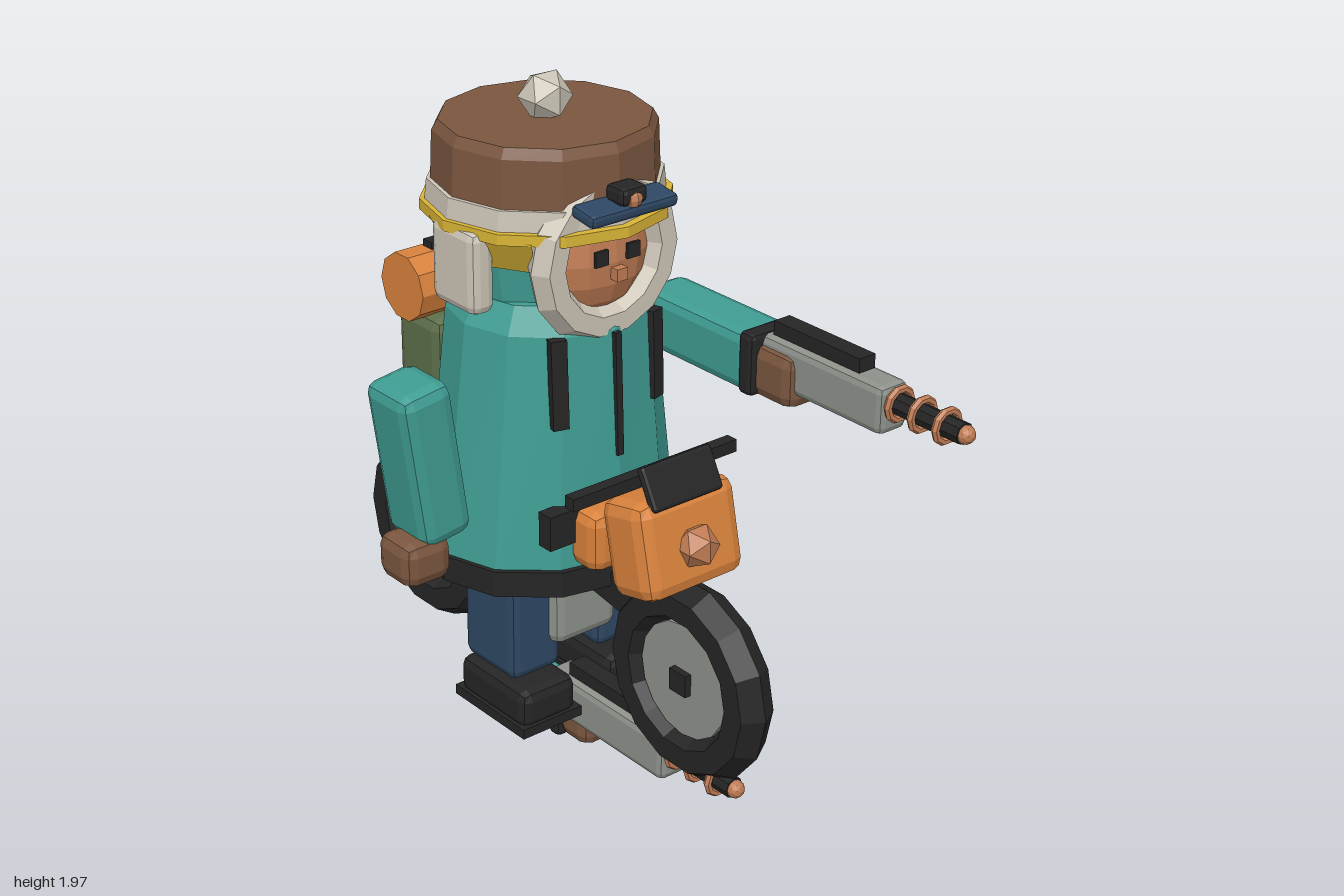
import * as THREE from 'three';
import { RoundedBoxGeometry } from 'three/addons/geometries/RoundedBoxGeometry.js';

const mat = (name, color) => new THREE.MeshStandardMaterial({ name, color, flatShading: true });
const teal = mat('teal', 0x3f9c92), black = mat('black', 0x252525), brown = mat('brown', 0x7a563f);
const orange = mat('orange', 0xd9823c), cream = mat('cream', 0xcbc4b6), yellow = mat('yellow', 0xd8b436);
const navy = mat('navy', 0x2e4763), skin = mat('skin', 0xc07c54), grey = mat('grey', 0x8d918a);
const green = mat('green', 0x5c6e4a);
yellow.side = THREE.DoubleSide;

export function createModel() {
  const root = new THREE.Group();
  root.name = 'parkaRider';
  root.position.x = 0.026;

  const add = (parent, name, geo, material, x, y, z, rx = 0, ry = 0, rz = 0) => {
    const m = new THREE.Mesh(geo, material);
    m.name = name;
    m.position.set(x, y, z);
    m.rotation.set(rx, ry, rz);
    parent.add(m);
    return m;
  };
  const group = (name) => {
    const g = new THREE.Group();
    g.name = name;
    root.add(g);
    return g;
  };
  const box = (w, h, d) => new THREE.BoxGeometry(w, h, d);
  const soft = (w, h, d, r = 0.025) => new RoundedBoxGeometry(w, h, d, 1, r);
  const cyl = (r0, r1, h, n) => new THREE.CylinderGeometry(r0, r1, h, n);

  // Stack of oval rings, listed top to bottom as [y, rx, rz]
  const rings = (list, sides = 12) => {
    const n = list.length - 1;
    const geo = new THREE.CylinderGeometry(1, 1, 1, sides, n);
    const p = geo.attributes.position;
    for (let i = 0; i < p.count; i++) {
      const [y, rx, rz] = list[Math.round((0.5 - p.getY(i)) * n)];
      p.setXYZ(i, p.getX(i) * rx, y, p.getZ(i) * rz);
    }
    return geo;
  };

  // Coat
  const coat = group('coat');
  add(coat, 'coatBody', rings([[1.43, 0.24, 0.23], [1.36, 0.285, 0.275], [0.69, 0.365, 0.312]]), teal, 0, 0, -0.165);
  add(coat, 'coatHem', rings([[0.705, 0.375, 0.322], [0.63, 0.375, 0.322]]), black, 0, 0, -0.16);
  for (const s of [-1, 1]) add(coat, 'coatStrap', box(0.045, 0.25, 0.03), black, s * 0.163, 1.237, 0.075, -0.04, s * 0.3);
  add(coat, 'zipper', box(0.02, 0.35, 0.02), black, 0, 1.18, 0.12, -0.04);
  add(coat, 'beltPouchBack', box(0.47, 0.1, 0.05), black, 0, 0.84, 0.105);
  add(coat, 'beltPouch', soft(0.3, 0.175, 0.12, 0.035), orange, 0, 0.803, 0.15);

  // Head, hood and face
  const head = group('head');
  add(head, 'hood', rings([[1.64, 0.27, 0.23], [1.56, 0.275, 0.235], [1.38, 0.24, 0.22]]), teal, 0, 0, -0.2);
  add(head, 'furRing', new THREE.TorusGeometry(0.187, 0.052, 6, 14), cream, 0, 1.557, 0.06);
  add(head, 'face', new THREE.SphereGeometry(0.165, 12, 8), skin, 0, 1.55, 0.02).scale.z = 0.58;
  for (const s of [-1, 1]) {
    add(head, 'eye', box(0.042, 0.042, 0.009), black, s * 0.053, 1.572, 0.115);
    add(head, 'earFlap', soft(0.075, 0.23, 0.185), cream, s * 0.295, 1.535, -0.152);
  }
  add(head, 'nose', box(0.034, 0.034, 0.035), skin, 0, 1.522, 0.12);

  // Hat with goggles
  const hat = group('hat');
  add(hat, 'yellowBrim', rings([[1.66, 0.338, 0.335], [1.63, 0.338, 0.335]]), yellow, 0, 0, -0.175);
  const back = new THREE.CylinderGeometry(0.33, 0.275, 0.1, 9, 1, true, Math.PI * 0.25, Math.PI * 1.5);
  add(hat, 'yellowLining', back, yellow, 0, 1.588, -0.175);
  add(hat, 'hatBand', rings([[1.715, 0.318, 0.31], [1.655, 0.325, 0.315]]), cream, 0, 0, -0.178);
  add(hat, 'hatCrown', rings([[1.873, 0.283, 0.283], [1.845, 0.3, 0.297], [1.71, 0.306, 0.303]]), brown, 0, 0, -0.178);
  add(hat, 'pompom', new THREE.IcosahedronGeometry(0.073), cream, 0, 1.92, -0.18);
  add(hat, 'goggles', soft(0.285, 0.036, 0.09, 0.012), navy, 0, 1.714, 0.145, 0.15);
  add(hat, 'goggleMount', soft(0.085, 0.05, 0.075, 0.015), black, 0, 1.75, 0.15);
  add(hat, 'goggleStud', new THREE.SphereGeometry(0.028, 8, 6), skin, 0, 1.74, 0.17);

  // Relaxed arm on the right
  const rightArm = group('rightArm');
  add(rightArm, 'rightSleeve', soft(0.16, 0.46, 0.19, 0.035), teal, -0.446, 1.026, -0.16, 0, 0, 0.14);
  add(rightArm, 'rightGlove', soft(0.15, 0.13, 0.15, 0.035), brown, -0.483, 0.755, -0.14);

  // Blaster, with its tip at the given point
  const blaster = (parent, x, y, zTip) => {
    const g = new THREE.Group();
    g.name = 'blaster';
    g.position.set(x, y, zTip);
    parent.add(g);
    add(g, 'blasterBody', soft(0.1, 0.135, 0.5, 0.02), grey, 0, -0.02, -0.52);
    add(g, 'blasterRail', box(0.056, 0.04, 0.32), black, 0, 0.07, -0.535);
    add(g, 'barrel', cyl(0.03, 0.03, 0.26, 8), black, 0, 0, -0.16, Math.PI / 2);
    for (const z of [-0.09, -0.175, -0.255]) {
      add(g, 'barrelRing', new THREE.TorusGeometry(0.042, 0.011, 6, 10), skin, 0, 0, z);
    }
    add(g, 'barrelTip', new THREE.IcosahedronGeometry(0.026, 1), skin, 0, 0, -0.026);
  };

  // Raised arm on the left
  const leftArm = group('leftArm');
  add(leftArm, 'leftSleeve', soft(0.165, 0.17, 0.45, 0.03), teal, 0.408, 1.215, 0.035);
  add(leftArm, 'leftCuff', soft(0.18, 0.18, 0.055, 0.015), black, 0.408, 1.222, 0.262);
  add(leftArm, 'leftGlove', soft(0.135, 0.155, 0.17, 0.035), brown, 0.405, 1.205, 0.335);
  blaster(leftArm, 0.409, 1.257, 1);

  // Low arm and blaster beneath the bike
  const lowArm = group('lowArm');
  add(lowArm, 'lowSleeve', soft(0.16, 0.16, 0.37, 0.03), teal, 0.05, 0.103, -0.325);
  add(lowArm, 'lowCuff', soft(0.165, 0.17, 0.05, 0.015), black, 0.05, 0.1, -0.122);
  add(lowArm, 'lowGlove', soft(0.15, 0.145, 0.13, 0.035), brown, 0.04, 0.108, -0.035);
  blaster(lowArm, 0, 0.2, 0.645);

  // Legs and boots
  const legs = group('legs');
  for (const s of [-1, 1]) {
    add(legs, 'trouserLeg', soft(0.17, 0.36, 0.228, 0.025), navy, s * 0.15, 0.485, -0.152);
    add(legs, 'boot', soft(0.19, 0.12, 0.3, 0.03), black, s * 0.154, 0.235, -0.125);
    add(legs, 'bootSole', box(0.205, 0.03, 0.315), black, s * 0.154, 0.18, -0.125);
  }

  // Backpack and bedroll
  const pack = group('backpack');
  add(pack, 'packBody', soft(0.45, 0.48, 0.2, 0.035), green, 0, 1.037, -0.465);
  add(pack, 'packPocket', soft(0.28, 0.22, 0.08, 0.02), green, 0, 0.91, -0.572);
  add(pack, 'bedroll', cyl(0.097, 0.097, 0.53, 10), orange, 0, 1.36, -0.473, 0, 0, Math.PI / 2);
  for (const s of [-1, 1]) add(pack, 'bedrollBuckle', box(0.035, 0.03, 0.04), black, s * 0.16, 1.457, -0.473);

  // Wheels
  for (const [name, z] of [['frontWheel', 0.434], ['rearWheel', -0.703]]) {
    const wheel = group(name);
    wheel.position.set(0, 0.46, z);
    add(wheel, 'tyre', new THREE.TorusGeometry(0.227, 0.066, 6, 14), black, 0, 0, 0, 0, Math.PI / 2);
    add(wheel, 'rim', cyl(0.168, 0.168, 0.06, 16), grey, 0, 0, 0, 0, 0, Math.PI / 2);
    add(wheel, 'hub', box(0.1, 0.065, 0.065), black, 0, 0, 0);
  }

  // Bike body
  const bike = group('bike');
  add(bike, 'cowl', soft(0.335, 0.275, 0.175, 0.04), orange, 0, 0.855, 0.35, -0.22);
  add(bike, 'headlamp', new THREE.IcosahedronGeometry(0.062), skin, 0, 0.862, 0.445);
  add(bike, 'windscreen', soft(0.24, 0.125, 0.025, 0.01), black, 0, 1.03, 0.375, -0.5);
  add(bike, 'handlebar', box(0.56, 0.036, 0.036), black, 0, 1.003, 0.265);
  add(bike, 'handlebarStem', box(0.05, 0.15, 0.04), black, 0, 0.94, 0.28, -0.15);
  add(bike, 'frontFrame', box(0.09, 0.1, 0.36), black, 0, 0.63, 0.1, 0.15);
  add(bike, 'rearFrame', box(0.09, 0.06, 0.4), black, 0, 0.59, -0.3);
  add(bike, 'engine', soft(0.22, 0.24, 0.36, 0.03), grey, 0, 0.505, -0.185);
  add(bike, 'exhaust', cyl(0.048, 0.038, 0.55, 8), grey, 0.168, 0.508, -0.46, Math.PI / 2);
  add(bike, 'seat', soft(0.28, 0.06, 0.12, 0.02), black, 0, 0.815, -0.565);
  add(bike, 'mudguard', soft(0.15, 0.04, 0.29, 0.012), black, 0, 0.72, -0.685);
  add(bike, 'tail', soft(0.2, 0.105, 0.26, 0.03), orange, 0, 0.8, -0.69, 0.2);

  return root;
}
